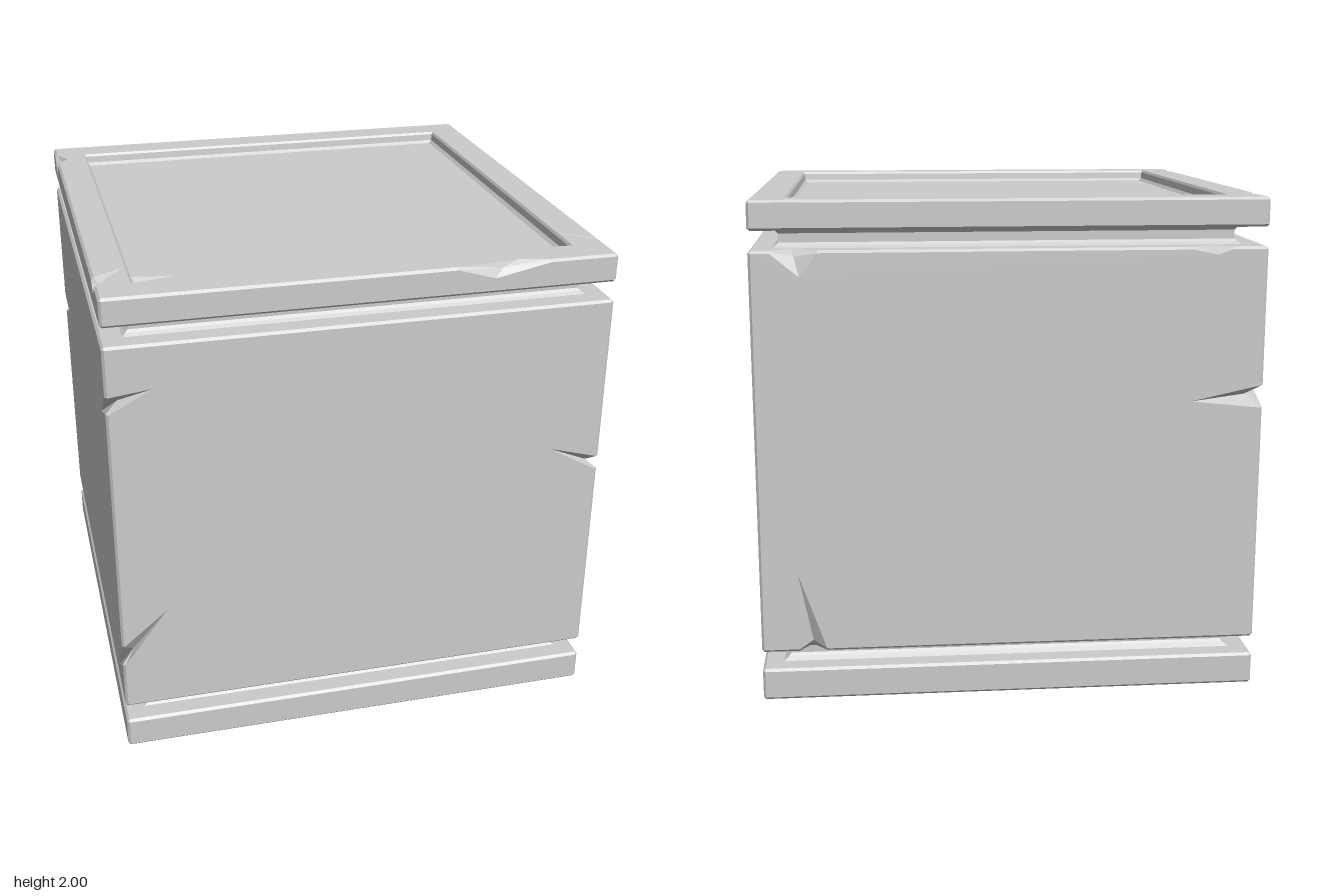
import * as THREE from 'three';

const material = new THREE.MeshStandardMaterial({ color: 0xcccccc, flatShading: true });
const AXES = 'xyz';
const FACES = ['+x', '-x', '+y', '-y', '+z', '-z'];
const axisOf = (f) => AXES.indexOf(f[1]);
const signOf = (f) => (f[0] === '+' ? 1 : -1);

// A chamfered square slab whose edges carry chips and cracks.
// chip: [face1, face2, start, end, [along, reach] on face1, [along, reach] on face2, depth]
// Positions along an edge are in model coordinates.
function slab(name, half, y0, y1, c, chips = [], hole = 0) {
  const h = [half, (y1 - y0) / 2, half];
  const cy = (y0 + y1) / 2;
  const out = [];

  // Triangle turned so that its front looks toward a given point
  const tri = (p, q, r, toward) => {
    const n = q.clone().sub(p).cross(r.clone().sub(p));
    const pts = n.dot(toward.clone().sub(p)) < 0 ? [p, r, q] : [p, q, r];
    pts.forEach((v) => out.push(v.x, v.y, v.z));
  };

  // Point near the edge of two faces: d1 in from the edge on face1, d2 on face2
  const edgePoint = (f1, f2, s, d1, d2) => {
    const a = axisOf(f1), b = axisOf(f2), p = [0, 0, 0];
    p[a] = signOf(f1) * (h[a] - d2);
    p[b] = signOf(f2) * (h[b] - d1);
    p[3 - a - b] = s;
    return new THREE.Vector3(...p);
  };
  const outward = (...faces) => {
    const p = [0, 0, 0];
    faces.forEach((f) => { p[axisOf(f)] = signOf(f) * 10; });
    return new THREE.Vector3(...p);
  };

  const cuts = chips.map(([f1, f2, s0, s1, t1, t2, depth]) => {
    const o = 3 - axisOf(f1) - axisOf(f2) === 1 ? cy : 0;
    return { f1, f2, s0: s0 - o, s1: s1 - o, t1: [t1[0] - o, t1[1]], t2: [t2[0] - o, t2[1]], depth };
  });
  const cutsOn = (f, g) => cuts.filter((k) => (k.f1 === f && k.f2 === g) || (k.f1 === g && k.f2 === f));

  // Flat faces, their outlines notched by the chips
  for (const f of FACES) {
    const a = axisOf(f);
    let u = (a + 1) % 3, v = (a + 2) % 3;
    if (signOf(f) < 0) [u, v] = [v, u];
    const sides = [['-', v, u, 1], ['+', u, v, 1], ['+', v, u, -1], ['-', u, v, -1]];
    const outline = [];
    for (const [sg, b, run, dir] of sides) {
      const g = sg + AXES[b];
      outline.push(edgePoint(f, g, -dir * (h[run] - c), c, 0));
      cutsOn(f, g).sort((p, q) => dir * (p.s0 - q.s0)).forEach((k) => {
        const tip = k.f1 === f ? k.t1 : k.t2;
        const ends = dir > 0 ? [k.s0, k.s1] : [k.s1, k.s0];
        outline.push(edgePoint(f, g, ends[0], c, 0), edgePoint(f, g, tip[0], tip[1], 0),
          edgePoint(f, g, ends[1], c, 0));
      });
    }
    const inner = [];
    if (hole && f === '+y') {
      [[-1, -1], [1, -1], [1, 1], [-1, 1]].forEach(([x, z]) =>
        inner.push(new THREE.Vector3(x * hole, h[1], z * hole)));
    }
    const flat = (p) => new THREE.Vector2(p.getComponent(u), p.getComponent(v));
    const all = [...outline, ...inner];
    THREE.ShapeUtils.triangulateShape(outline.map(flat), inner.length ? [inner.map(flat)] : [])
      .forEach(([i, j, k]) => tri(all[i], all[j], all[k], outward(f)));
  }

  // Chamfer strips, interrupted where a chip bites through the edge
  FACES.forEach((f, i) => FACES.slice(i + 1).forEach((g) => {
    if (axisOf(f) === axisOf(g)) return;
    const end = h[3 - axisOf(f) - axisOf(g)] - c;
    const stops = [-end];
    cutsOn(f, g).sort((p, q) => p.s0 - q.s0).forEach((k) => stops.push(k.s0, k.s1));
    stops.push(end);
    for (let k = 0; k < stops.length; k += 2) {
      const [p, q] = [stops[k], stops[k + 1]].map((s) => [edgePoint(f, g, s, c, 0), edgePoint(f, g, s, 0, c)]);
      tri(p[0], p[1], q[1], outward(f, g));
      tri(p[0], q[1], q[0], outward(f, g));
    }
  }));

  // Corner facets
  for (const x of ['+x', '-x']) for (const y of ['+y', '-y']) for (const z of ['+z', '-z']) {
    const p = (f, g, e) => edgePoint(f, g, signOf(e) * (h[axisOf(e)] - c), c, 0);
    tri(p(x, y, z), p(y, z, x), p(z, x, y), outward(x, y, z));
  }

  // Walls of each chip, running down to its deepest point
  for (const { f1, f2, s0, s1, t1, t2, depth } of cuts) {
    const mid = (s0 + s1) / 2;
    const deep = edgePoint(f1, f2, mid, depth, depth);
    const mouth = edgePoint(f1, f2, mid, c / 2, c / 2);
    const tip1 = edgePoint(f1, f2, t1[0], t1[1], 0);
    const tip2 = edgePoint(f1, f2, t2[0], 0, t2[1]);
    for (const s of [s0, s1]) {
      const e1 = edgePoint(f1, f2, s, c, 0), e2 = edgePoint(f1, f2, s, 0, c);
      tri(tip1, e1, deep, mouth);
      tri(e1, e2, deep, mouth);
      tri(e2, tip2, deep, mouth);
    }
  }

  const geometry = new THREE.BufferGeometry();
  geometry.setAttribute('position', new THREE.Float32BufferAttribute(out, 3));
  geometry.computeVertexNormals();
  const mesh = new THREE.Mesh(geometry, material);
  mesh.name = name;
  mesh.position.y = cy;
  return mesh;
}

// Square ring from a profile of [half width, height]
function squareRing(name, profile) {
  const points = profile.map(([r, y]) => new THREE.Vector2(r * Math.SQRT2, y));
  const geometry = new THREE.LatheGeometry(points, 4, Math.PI / 4).toNonIndexed();
  geometry.computeVertexNormals();
  const ringMaterial = material.clone();
  ringMaterial.side = THREE.DoubleSide;
  const mesh = new THREE.Mesh(geometry, ringMaterial);
  mesh.name = name;
  return mesh;
}

export function createModel() {
  const group = new THREE.Group();
  group.name = 'stoneBlock';

  group.add(slab('basePlate', 1, 0, 0.13, 0.01));
  group.add(squareRing('lowerNeck', [[0.92, 0.128], [0.9, 0.145], [0.89, 0.155], [0.89, 0.185], [0.91, 0.207]]));

  // Main block with cracks at its corners
  group.add(slab('body', 1, 0.203, 1.81, 0.01, [
    ['+z', '+x', 1.06, 1.12, [1.18, 0.22], [0.98, 0.21], 0.04],
    ['+z', '-x', 1.54, 1.61, [1.63, 0.18], [1.48, 0.17], 0.05],
    ['+z', '-x', 0.41, 0.5, [0.65, 0.19], [0.29, 0.18], 0.05],
    ['-z', '-x', 1.17, 1.26, [1.2, 0.29], [1.25, 0.23], 0.06],
    ['-z', '-y', 0.74, 0.85, [0.85, 0.33], [0.8, 0.08], 0.035],
    ['-z', '+y', 0.74, 0.92, [0.81, 0.1], [0.84, 0.06], 0.025],
    ['-z', '+y', -0.86, -0.7, [-0.8, 0.03], [-0.76, 0.05], 0.02],
  ]));

  group.add(squareRing('upperNeck', [[0.92, 1.805], [0.9, 1.82], [0.89, 1.83], [0.89, 1.865], [0.91, 1.89]]));

  // Top frame with worn edges around a shallow recess
  group.add(slab('topFrame', 1, 1.885, 2, 0.01, [
    ['+z', '+y', 0.35, 0.72, [0.5, 0.055], [0.6, 0.037], 0.022],
    ['-x', '+y', -0.88, -0.75, [-0.81, 0.07], [-0.8, 0.05], 0.03],
    ['-x', '+y', 0.77, 0.86, [0.82, 0.05], [0.7, 0.125], 0.03],
    ['+x', '+y', 0.8, 0.83, [0.82, 0.03], [0.71, 0.13], 0.015],
    ['+x', '+y', -0.84, -0.815, [-0.83, 0.1], [-0.825, 0.04], 0.015],
    ['+x', '-y', -0.83, -0.74, [-0.8, 0.014], [-0.78, 0.06], 0.012],
  ], 0.865));
  group.add(squareRing('recessWall', [[0.842, 1.95], [0.855, 1.962], [0.858, 1.99], [0.865, 2]]));
  group.add(slab('recessFloor', 0.85, 1.9, 1.95, 0.004, [
    ['-x', '+y', 0.67, 0.735, [0.7, 0.03], [0.7, 0.17], 0.02],
  ]));

  return group;
}
